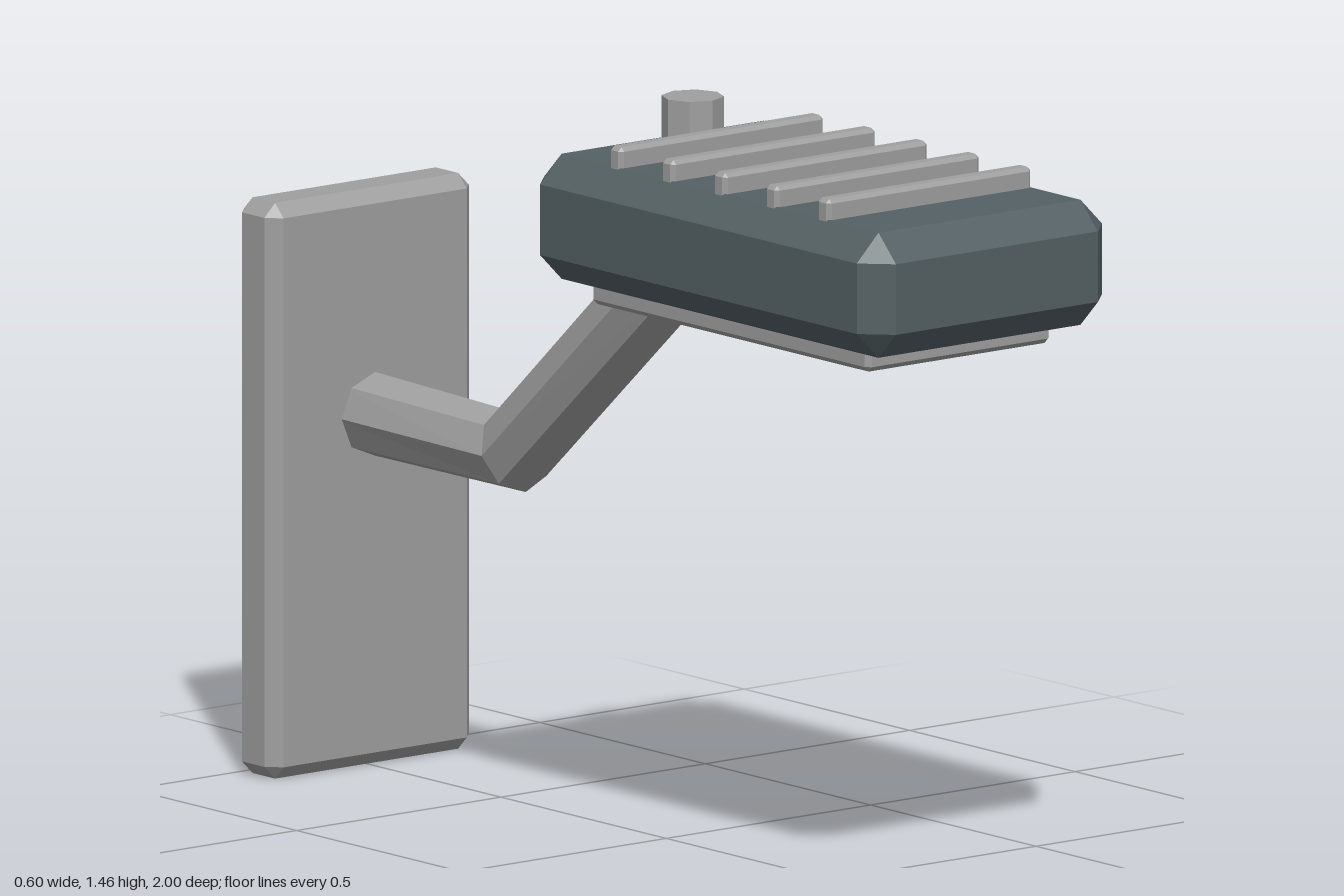
import * as THREE from 'three';
import { ConvexGeometry } from 'three/addons/geometries/ConvexGeometry.js';

const grey = new THREE.MeshStandardMaterial({ color: 0x9e9f9e });
grey.name = 'light grey';
const slate = new THREE.MeshStandardMaterial({ color: 0x546064 });
slate.name = 'dark slate';

// Box with every edge and corner cut by a chamfer c
function chamferBox(w, h, d, c) {
  const pts = [];
  for (const sx of [-1, 1]) for (const sy of [-1, 1]) for (const sz of [-1, 1]) {
    for (let axis = 0; axis < 3; axis++) {
      const p = [w / 2 - c, h / 2 - c, d / 2 - c];
      p[axis] += c;
      pts.push(new THREE.Vector3(sx * p[0], sy * p[1], sz * p[2]));
    }
  }
  return new ConvexGeometry(pts);
}

// Eight-sided bent tube: one ring per entry, from the head end to the wall end
function bentArm(radius, rings) {
  const geo = new THREE.CylinderGeometry(radius, radius, 1, 8, rings.length - 1, true);
  const pos = geo.attributes.position;
  for (let i = 0; i < pos.count; i++) {
    const row = Math.round((0.5 - pos.getY(i)) * (rings.length - 1));
    const { y, z, tilt } = rings[row];
    const r = pos.getZ(i);
    pos.setXYZ(i, pos.getX(i), y - r * Math.cos(tilt), z + r * Math.sin(tilt));
  }
  const flat = geo.toNonIndexed();
  flat.computeVertexNormals();
  return flat;
}

export function createModel() {
  const model = new THREE.Group();
  model.name = 'wallLamp';

  function add(name, geo, mat, x = 0, y = 0, z = 0) {
    const mesh = new THREE.Mesh(geo, mat);
    mesh.name = name;
    mesh.position.set(x, y, z);
    model.add(mesh);
    return mesh;
  }

  // Upright mounting plate at the back
  add('wallPlate', chamferBox(0.5, 1.118, 0.12, 0.026), grey, 0, 0.559, -0.94);

  // Bent support arm
  add('arm', bentArm(0.082, [
    { y: 1.175, z: 0.1, tilt: 0.727 },
    { y: 0.68, z: -0.457, tilt: 0.4 },
    { y: 0.684, z: -0.93, tilt: 0 },
  ]), grey);

  // Lamp head and the panel beneath it
  add('head', chamferBox(0.6, 0.243, 1.064, 0.053), slate, 0, 1.2385, 0.468);
  add('lensPanel', chamferBox(0.45, 0.08, 0.84, 0.01), grey, 0, 1.115, 0.468);

  // Cooling ridges across the top
  for (let i = 0; i < 5; i++) {
    add('ridge' + (i + 1), chamferBox(0.5, 0.08, 0.037, 0.008), grey, 0, 1.36, 0.153 + i * 0.157);
  }

  // Sensor knob
  const knob = new THREE.CylinderGeometry(0.06, 0.06, 0.12, 8).toNonIndexed();
  knob.computeVertexNormals();
  add('knob', knob, grey, 0, 1.395, 0.08);

  return model;
}
